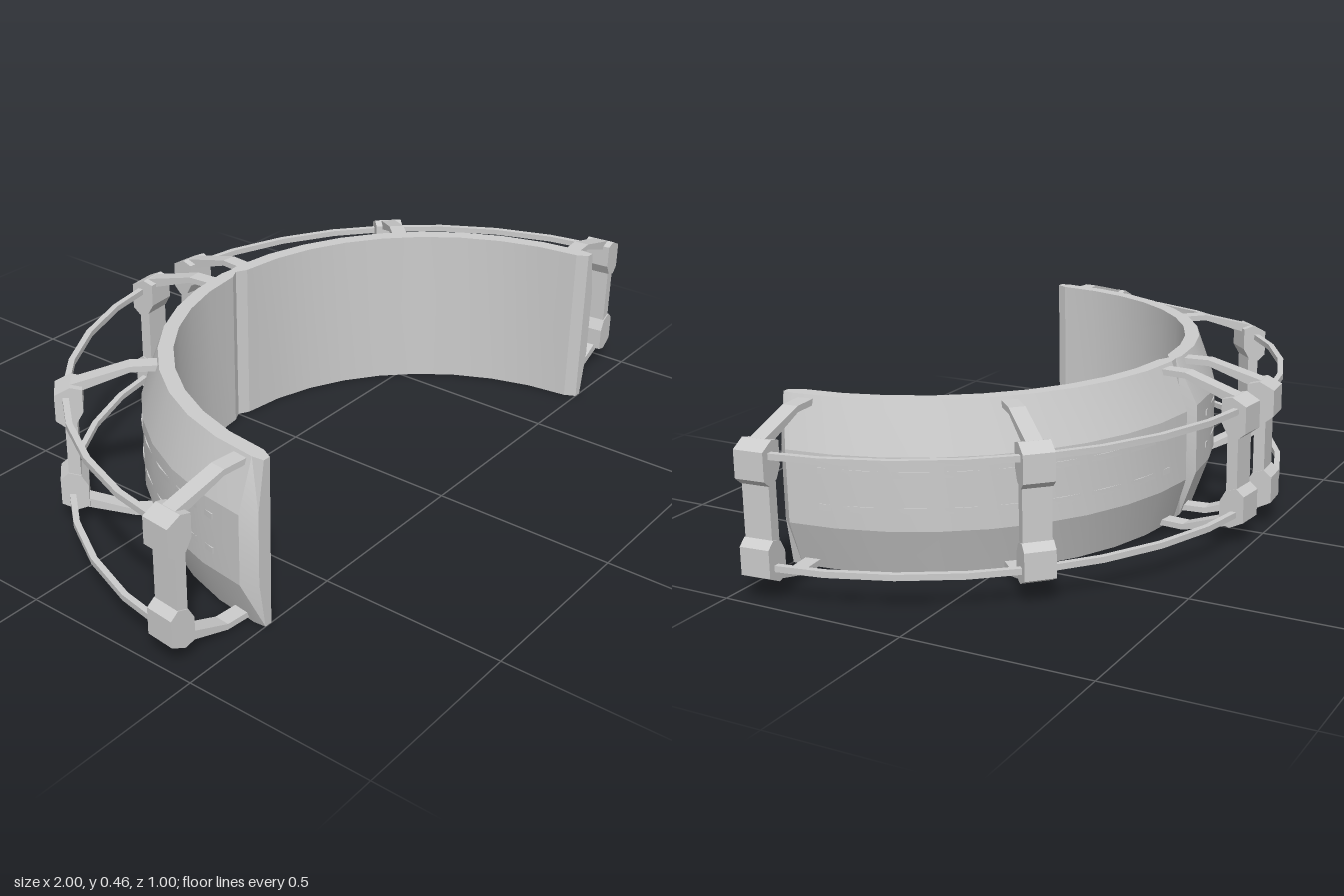
import * as THREE from 'three';
import { toCreasedNormals } from 'three/addons/utils/BufferGeometryUtils.js';

const H = 0.455, MID = H / 2, CZ = 0.5; // height, mid height, z of the arc centre
const mat = new THREE.MeshStandardMaterial({ color: 0xcccccc });
const rad = THREE.MathUtils.degToRad;

// Sweeps closed [radius, height] sections (counter-clockwise) around the arc centre
function sweep(sections, crease) {
  const pts = sections.map(({ angle, profile }) => profile.map(([r, y]) =>
    [r * Math.cos(rad(angle)), y, CZ - r * Math.sin(rad(angle))]));
  const pos = [];
  const tri = (a, b, c) => pos.push(...a, ...b, ...c);
  const n = pts[0].length, last = pts.length - 1;
  for (let j = 0; j < last; j++) {
    for (let i = 0; i < n; i++) {
      const k = (i + 1) % n;
      tri(pts[j][i], pts[j + 1][i], pts[j][k]);
      tri(pts[j][k], pts[j + 1][i], pts[j + 1][k]);
    }
  }
  for (let i = 1; i < n - 1; i++) {
    tri(pts[0][0], pts[0][i], pts[0][i + 1]);
    tri(pts[last][0], pts[last][i + 1], pts[last][i]);
  }
  const g = new THREE.BufferGeometry();
  g.setAttribute('position', new THREE.Float32BufferAttribute(pos, 3));
  g.computeVertexNormals();
  return toCreasedNormals(g, rad(crease));
}

// Rectangular bar following the arc
function arcBar(start, end, steps, r0, r1, y0, y1) {
  const profile = [[r0, y0], [r1, y0], [r1, y1], [r0, y1]];
  const sections = [];
  for (let i = 0; i <= steps; i++) {
    sections.push({ angle: start + (end - start) * i / steps, profile });
  }
  return sweep(sections, 15);
}

// Shell cross-section: flat inside, bulging outside
const shellProfile = (inner, rim, belly) => [
  [inner, 0], [rim, 0], [belly, 0.13], [belly, 0.322], [rim, H], [inner, H],
];

// Flat plate in the radius/height plane, centred on its thickness
function plate(points, width) {
  const shape = new THREE.Shape(points.map(([r, y]) => new THREE.Vector2(r, y)));
  const g = new THREE.ExtrudeGeometry(shape, { depth: width, bevelEnabled: false });
  return g.translate(0, 0, -width / 2);
}

const flipY = (points) => points.map(([r, y]) => [r, H - y]).reverse();

const ARM = [[0.735, 0.43], [0.81, 0.43], [0.935, 0.385], [0.96, 0.404], [0.81, 0.446], [0.735, 0.446]];
const BLOCK = [[0.93, 0.335], [0.947, 0.305], [0.978, 0.295], [1.0, 0.313], [1.0, 0.385], [0.96, 0.405], [0.93, 0.397]];
const POST = [[0.947, 0.15], [0.978, 0.15], [0.978, 0.305], [0.947, 0.305]];

function createBracket(angle) {
  const bracket = new THREE.Group();
  bracket.name = 'bracket';
  const add = (name, points, width) => {
    const m = new THREE.Mesh(plate(points, width), mat);
    m.name = name;
    bracket.add(m);
  };
  add('bracketPost', POST, 0.074);
  add('upperArm', ARM, 0.042);
  add('lowerArm', flipY(ARM), 0.042);
  add('upperBlock', BLOCK, 0.08);
  add('lowerBlock', flipY(BLOCK), 0.08);
  bracket.position.z = CZ;
  bracket.rotation.y = rad(angle);
  return bracket;
}

export function createModel() {
  const model = new THREE.Group();
  model.name = 'curvedBarrier';

  for (const [side, base] of [['left', 0], ['right', 90]]) {
    const half = new THREE.Group();
    half.name = side + 'Half';
    const add = (name, geometry) => {
      const m = new THREE.Mesh(geometry, mat);
      m.name = name;
      half.add(m);
    };

    // Quarter-circle shell with tapered ends
    const full = shellProfile(0.7, 0.74, 0.787);
    const tip = shellProfile(0.715, 0.736, 0.757);
    const sections = [{ angle: base, profile: tip }];
    for (let i = 0; i <= 9; i++) sections.push({ angle: base + 2.5 + 85 * i / 9, profile: full });
    sections.push({ angle: base + 90, profile: tip });
    add('shell', sweep(sections, 15));

    // Thin strips on the belly and guard rails further out
    for (const y of [0.183, 0.277]) {
      add('bellyStrip', arcBar(base + 9, base + 81, 8, 0.776, 0.788, y - 0.008, y + 0.008));
    }
    for (const y of [0.089, 0.37]) {
      add('guardRail', arcBar(base + 5, base + 85, 8, 0.967, 0.983, y - 0.008, y + 0.008));
    }

    // Brackets carrying the rails
    for (const a of [5.25, 45, 84.75]) half.add(createBracket(base + a));
    model.add(half);
  }
  return model;
}
